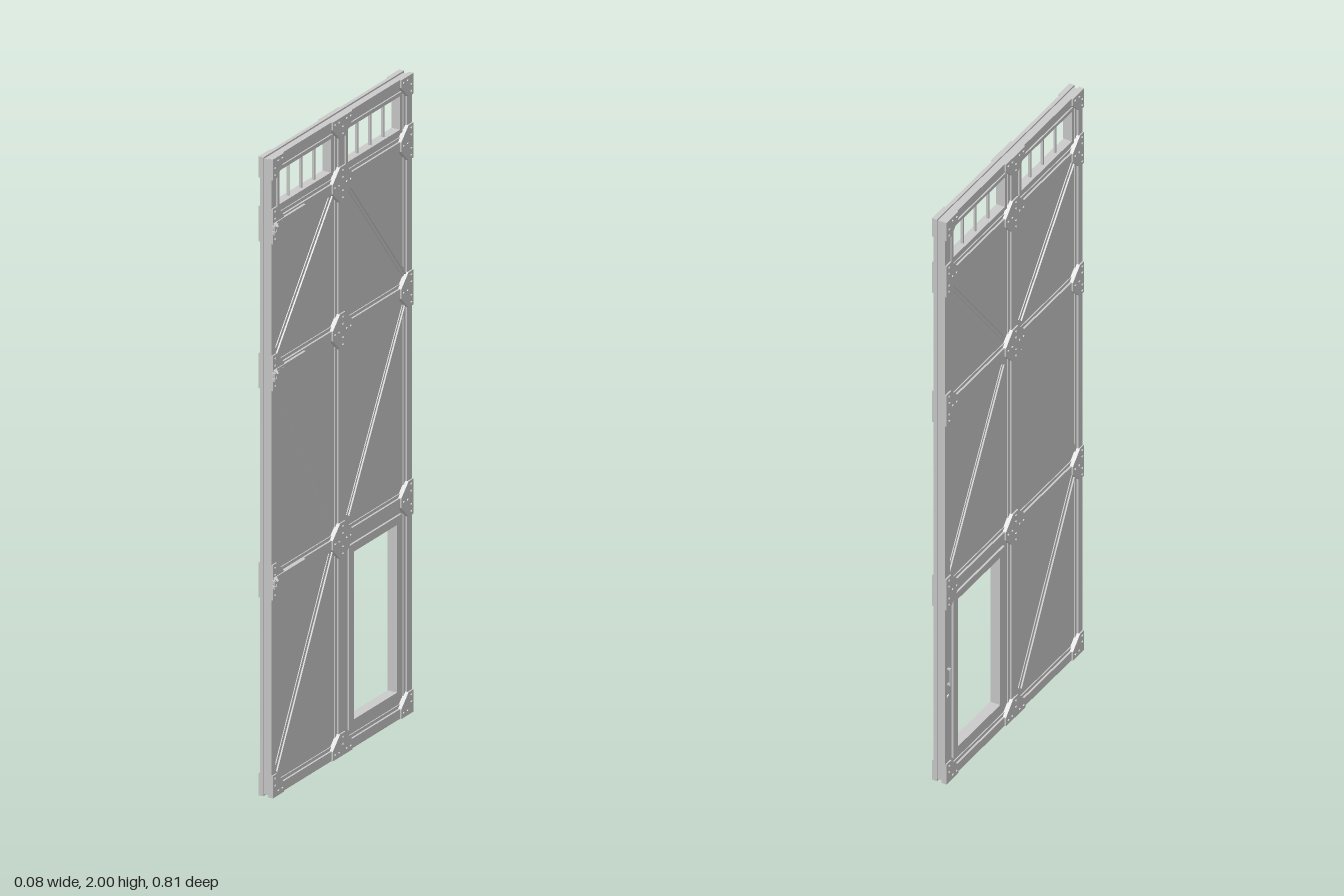
import * as THREE from 'three';

const MID = -0.011;                       // x of the door's middle plane
const Z0 = -0.403, Z1 = 0.378, TOP = 2;   // door edges
const CORE = 0.010, LIP = 0.0135, FRAME = 0.0198, PLATE = 0.0245, BOLT = 0.0278;

// bars of the frame, as [low, high] in z and in y
const COLS = [[Z0, -0.375], [-0.025, 0.005], [0.355, Z1]];
const ROWS = [[0, 0.03], [0.66, 0.69], [1.315, 1.345], [1.775, 1.805], [1.975, TOP]];
const WINDOWS = [[0.04, 0.325, 1.84, 1.945], [-0.345, -0.055, 1.84, 1.945]];
const HATCH = [-0.325, -0.085, 0.085, 0.61];

const mat = new THREE.MeshStandardMaterial({ color: 0xcccccc, flatShading: true });

function add(parent, name, geo, x = 0, y = 0, z = 0) {
  const m = new THREE.Mesh(geo, mat);
  m.name = name;
  m.position.set(x, y, z);
  parent.add(m);
  return m;
}

const rect = ([a, b, c, d], grow = 0) => [
  [a - grow, c - grow], [b + grow, c - grow], [b + grow, d + grow], [a - grow, d + grow]];

// flat slab drawn in (z, y) and running from x0 to x1
function slab(points, holes, x0, x1) {
  const toVec = (p) => p.map(([z, y]) => new THREE.Vector2(z, y));
  const shape = new THREE.Shape(toVec(points));
  holes.forEach((h) => shape.holes.push(new THREE.Path(toVec(h))));
  const g = new THREE.ExtrudeGeometry(shape, { depth: x1 - x0, bevelEnabled: false });
  return g.rotateY(-Math.PI / 2).translate(x1, 0, 0);
}

// slab on one face of the door: s = 1 for +x, -1 for -x
function layer(points, holes, s, from, to) {
  return s > 0 ? slab(points, holes, MID + from, MID + to) : slab(points, holes, MID - to, MID - from);
}

// every cell between the bars
const cells = [];
for (let c = 0; c < 2; c++) for (let r = 0; r < 4; r++) {
  cells.push([COLS[c][1], COLS[c + 1][0], ROWS[r][1], ROWS[r + 1][0]]);
}

// chamfered joint plate with bolts on its arms
function gusset(parent, c, r, s) {
  const [z0, z1] = COLS[c], [y0, y1] = ROWS[r], e = 0.04;
  const l = c > 0 ? e : 0, rt = c < 2 ? e : 0, d = r > 0 ? e : 0, u = r < 4 ? e : 0;
  const pts = [[z0, y0 - d], [z1, y0 - d], [z1 + rt, y0], [z1 + rt, y1],
    [z1, y1 + u], [z0, y1 + u], [z0 - l, y1], [z0 - l, y0]];
  const clean = pts.filter((p, i) => {
    const q = pts[(i + 1) % pts.length];
    return p[0] !== q[0] || p[1] !== q[1];
  });
  const g = new THREE.Group();
  g.name = 'jointPlate';
  parent.add(g);
  add(g, 'plate', layer(clean, [], s, CORE, PLATE));
  const zm = (z0 + z1) / 2, ym = (y0 + y1) / 2;
  const spots = [];
  for (const k of [0.006, 0.028]) {
    if (l) spots.push([z0 - k, ym]);
    if (rt) spots.push([z1 + k, ym]);
    if (d) spots.push([zm, y0 - k]);
    if (u) spots.push([zm, y1 + k]);
  }
  for (const [z, y] of spots) {
    const b = new THREE.CylinderGeometry(0.0035, 0.0035, BOLT - PLATE + 0.001, 6).rotateZ(Math.PI / 2);
    add(g, 'bolt', b, MID + s * (PLATE + BOLT) / 2, y, z);
  }
}

// angle-iron brace: flat flange with a standing leg
function brace(parent, za, ya, zb, yb, s) {
  const len = Math.hypot(zb - za, yb - ya);
  const g = new THREE.Group();
  g.name = 'diagonalBrace';
  g.position.set(MID + s * CORE, (ya + yb) / 2, (za + zb) / 2);
  g.rotation.x = Math.atan2(zb - za, yb - ya);
  add(g, 'flange', new THREE.BoxGeometry(0.003, len, 0.02), s * 0.0015);
  add(g, 'leg', new THREE.BoxGeometry(0.008, len, 0.004), s * 0.004, 0, 0.002);
  parent.add(g);
}

// strap hinge with a bent arm and a forked end
function hinge(parent, y) {
  const g = new THREE.Group();
  g.name = 'hinge';
  g.position.y = y;
  parent.add(g);
  const profile = [[0.008, 0.2], [0.017, 0.2], [0.017, 0.362], [0.039, 0.386],
    [0.039, 0.396], [0.026, 0.396], [0.026, 0.388], [0.014, 0.374], [0.008, 0.374]];
  const arm = (h, y0, pts) => new THREE.ExtrudeGeometry(
    new THREE.Shape(pts.map(([x, z]) => new THREE.Vector2(x, -z))),
    { depth: h, bevelEnabled: false }).rotateX(-Math.PI / 2).translate(0, y0, 0);
  add(g, 'strap', arm(0.02, -0.01, profile));
  for (const s of [-1, 1]) {
    add(g, 'knuckle', new THREE.CylinderGeometry(0.007, 0.007, 0.009, 10), 0.032, s * 0.0085, 0.397);
  }
  add(g, 'pin', new THREE.CylinderGeometry(0.003, 0.003, 0.03, 8), 0.032, 0, 0.397);
}

export function createModel() {
  const door = new THREE.Group();
  door.name = 'door';

  // central sheet, set back a little from the frame's edge
  const openings = [...WINDOWS, HATCH].map((o) => rect(o));
  add(door, 'panel', slab(rect([Z0 + 0.005, Z1 - 0.005, 0.005, TOP - 0.005]), openings, MID - CORE, MID + CORE));

  const low = [[0, 2], [1, 2]];   // [row of cells, column side] helpers below
  const zIn = { '-1': -0.06, 1: 0.035 }, zOut = { '-1': -0.37, 1: 0.343 };
  // braces as [side, y at the door's middle, y at its outer edge] on the +x face
  const braces = [[1, 1.765, 1.38], [-1, 1.765, 1.38], [1, 0.73, 1.28], [-1, 0.73, 1.28], [1, 0.65, 0.07]];

  for (const s of [1, -1]) {
    const face = new THREE.Group();
    face.name = s > 0 ? 'leftFace' : 'rightFace';
    door.add(face);
    const outline = rect([Z0, Z1, 0, TOP]);
    add(face, 'frame', layer(outline, cells.map((c) => rect(c)), s, CORE - 0.002, FRAME));
    // thin inner flange around each cell
    cells.forEach((c) => add(face, 'frameFlange', layer(rect(c), [rect(c, -0.01)], s, CORE, LIP)));

    COLS.forEach((_, c) => ROWS.forEach((__, r) => gusset(face, c, r, s)));
    for (const [side, yi, yo] of braces) {
      // the far face carries the opposite diagonal
      brace(face, zIn[side], s > 0 ? yi : yo, zOut[side], s > 0 ? yo : yi, s);
    }
    // trims round the openings
    add(face, 'hatchTrim', layer(rect(HATCH, 0.026), [rect(HATCH)], s, CORE, 0.0165));
    WINDOWS.forEach((w) => add(face, 'windowTrim', layer(rect(w, 0.012), [rect(w)], s, CORE, LIP + 0.001)));
  }

  // upright window bars
  for (const [a, b, c, d] of WINDOWS) for (let i = 1; i < 4; i++) {
    add(door, 'windowBar', new THREE.BoxGeometry(0.008, d - c + 0.004, 0.005), MID, (c + d) / 2, a + (b - a) * i / 4);
  }

  [0.68, 1.33, 1.79].forEach((y) => hinge(door, y));

  // pull handle and lock on the far face
  const handle = new THREE.Group();
  handle.name = 'handle';
  handle.position.set(MID - FRAME, 0, -0.388);
  add(handle, 'grip', new THREE.BoxGeometry(0.003, 0.06, 0.006), -0.0095, 0.375);
  for (const y of [0.348, 0.402]) add(handle, 'post', new THREE.BoxGeometry(0.01, 0.006, 0.006), -0.005, y);
  add(handle, 'lock', new THREE.CylinderGeometry(0.006, 0.006, 0.004, 10).rotateZ(Math.PI / 2), -0.002, 0.305);
  door.add(handle);

  return door;
}
